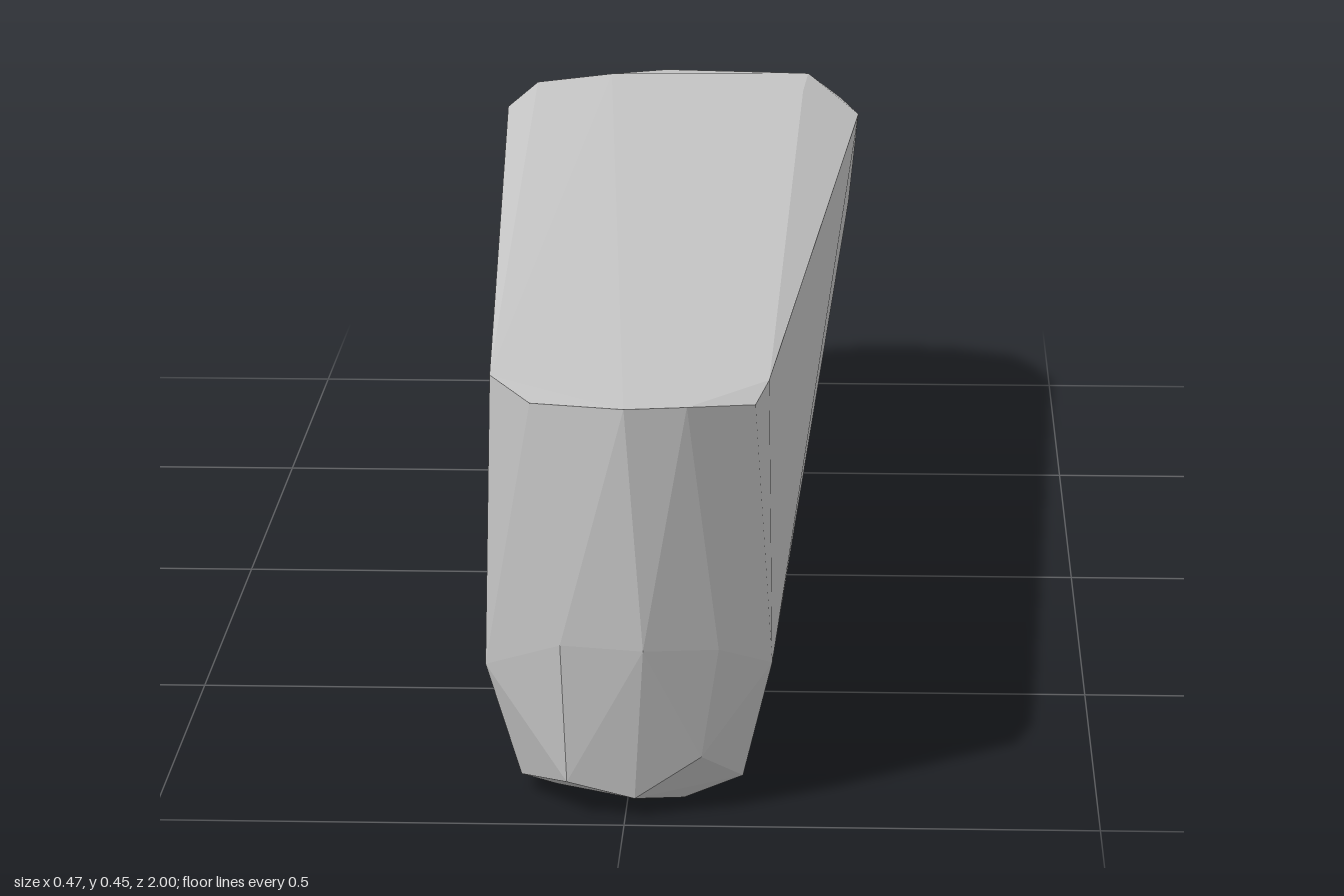
import * as THREE from 'three';
import { ConvexGeometry } from 'three/addons/geometries/ConvexGeometry.js';

// Corner points [x, y, z] of the narrow front end
const frontEnd = [
  [0, 0.45, 1], [-0.1, 0.445, 0.955], [0.065, 0.448, 0.98], [0.135, 0.437, 0.92],
  [-0.15, 0.445, 0.83], [0.148, 0.447, 0.85],
  [-0.068, 0.19, 0.98], [0.02, 0.19, 1], [0.098, 0.18, 0.955],
  [-0.153, 0.14, 0.88], [0.153, 0.145, 0.88],
  [-0.062, 0.036, 0.965], [0.01, 0.02, 0.97], [0.08, 0.062, 0.955],
  [-0.115, 0.018, 0.88], [0.122, 0.016, 0.87], [-0.12, 0.025, 0.75],
  [-0.078, 0.001, 0.86], [0.06, 0, 0.9],
];

// Uneven rim around the top of the wide rear end
const rearRim = [
  [0.234, 0.418, -0.8], [0.21, 0.425, -0.88], [0.165, 0.447, -0.94], [0.08, 0.44, -0.99],
  [-0.03, 0.44, -1], [-0.12, 0.42, -0.97], [-0.2, 0.44, -0.9], [-0.234, 0.425, -0.8],
  [0.16, 0.449, -0.8], [-0.1, 0.452, -0.9],
];

// Half rings below the rim: height, then [x, z] pairs mirrored in x
const rearRings = [
  [0.315, [[0.222, -0.72], [0.192, -0.86], [0.12, -0.945], [0, -0.98]]],
  [0.22, [[0.204, -0.77], [0.135, -0.855], [0.05, -0.91]]],
  [0.14, [[0.176, -0.55], [0.16, -0.69], [0.09, -0.78], [0, -0.81]]],
  [0.08, [[0.13, -0.6], [0.05, -0.69]]],
  [0.042, [[0.07, -0.5], [0, -0.53]]],
];

export function createModel() {
  const group = new THREE.Group();
  group.name = 'stone';

  const points = [...frontEnd, ...rearRim].map((p) => new THREE.Vector3(...p));
  for (const [y, ring] of rearRings) {
    for (const [x, z] of ring) {
      points.push(new THREE.Vector3(x, y, z));
      if (x > 0) points.push(new THREE.Vector3(-x, y, z));
    }
  }

  // Faceted tapering body wrapped around both ends
  const stoneGrey = new THREE.MeshStandardMaterial({ color: 0xc4c4c4 });
  stoneGrey.name = 'stoneGrey';
  stoneGrey.flatShading = true;
  const body = new THREE.Mesh(new ConvexGeometry(points), stoneGrey);
  body.name = 'stoneBody';
  group.add(body);
  return group;
}
